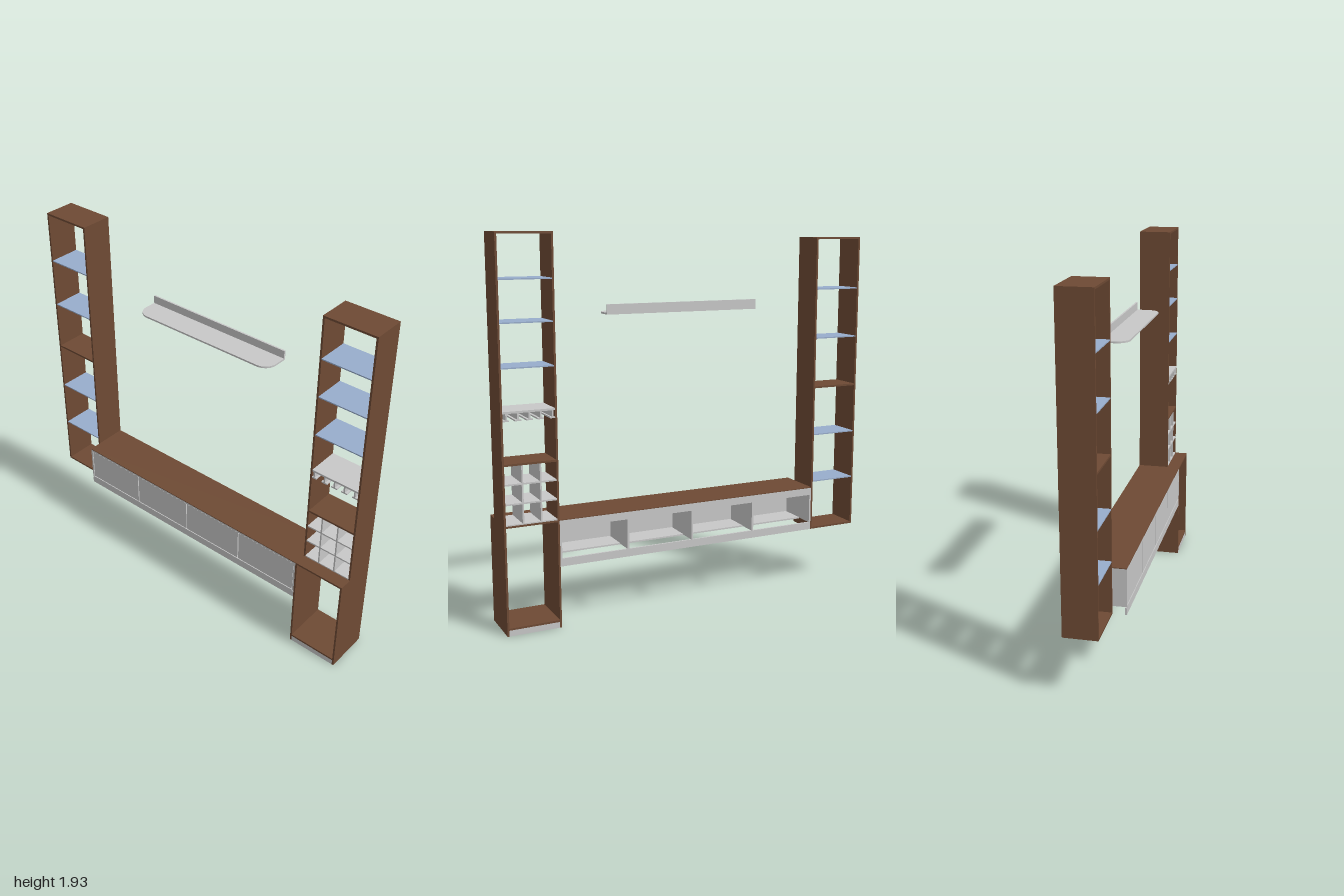
import * as THREE from 'three';

const mat = (name, color, side = THREE.FrontSide) => {
  const m = new THREE.MeshStandardMaterial({ color, side });
  m.name = name;
  return m;
};

export function createModel() {
  const wood = mat('walnut brown', 0x6e4a34);
  const grey = mat('light grey', 0xc8c8c8);
  const glass = mat('blue glass', 0x98adcc);
  const root = new THREE.Group();
  root.name = 'wallUnit';

  const group = (name) => {
    const g = new THREE.Group();
    g.name = name;
    root.add(g);
    return g;
  };
  // Box given by its limits on each axis
  const box = (g, name, m, x0, x1, y0, y1, z0, z1) => {
    const mesh = new THREE.Mesh(new THREE.BoxGeometry(x1 - x0, y1 - y0, z1 - z0), m);
    mesh.position.set((x0 + x1) / 2, (y0 + y1) / 2, (z0 + z1) / 2);
    mesh.name = name;
    g.add(mesh);
  };

  const back = -0.12, mid = 0.05, front = 0.12, t = 0.01;

  // Hanging tower on the -x side
  const hung = group('hangingTower');
  box(hung, 'outerSide', wood, -1, -1 + t, 0.315, 1.9, back, mid);
  box(hung, 'innerSide', wood, -0.737, -0.727, 0.315, 1.9, back, mid);
  for (const [name, y] of [['bottom', 0.315], ['middleShelf', 1.1], ['top', 1.89]])
    box(hung, name, wood, -1 + t, -0.737, y, y + t, back, mid);
  for (const y of [0.585, 0.845, 1.37, 1.63])
    box(hung, 'glassShelf', glass, -1 + t, -0.737, y - 0.003, y + 0.003, back, mid);

  // Standing tower with a deeper base on the +x side
  const tower = group('standingTower');
  const xl = 0.722, xr = 1, il = xl + t, ir = xr - t;
  const profile = new THREE.Shape([
    [back, 0], [front, 0], [front, 0.553], [mid, 0.553], [mid, 1.935], [back, 1.935],
  ].map(([z, y]) => new THREE.Vector2(-z, y)));
  for (const [name, x] of [['innerSide', xl], ['outerSide', ir]]) {
    const side = new THREE.Mesh(new THREE.ExtrudeGeometry(profile, { depth: t, bevelEnabled: false }), wood);
    side.rotation.y = Math.PI / 2;
    side.position.x = x;
    side.name = name;
    tower.add(side);
  }
  box(tower, 'bottom', wood, il, ir, 0.03, 0.04, back, front);
  box(tower, 'baseTop', wood, il, ir, 0.543, 0.553, back, front);
  box(tower, 'rackTop', wood, il, ir, 0.845, 0.855, back, mid);
  box(tower, 'top', wood, il, ir, 1.925, 1.935, back, mid);
  for (const y of [1.31, 1.52, 1.72])
    box(tower, 'glassShelf', glass, il, ir, y - 0.003, y + 0.003, back, mid);

  // Hollow plinth ring
  for (const z of [back, front - t]) box(tower, 'plinthRail', grey, il, ir, 0, 0.03, z, z + t);
  for (const x of [il, ir - t]) box(tower, 'plinthSide', grey, x, x + t, 0, 0.03, back + t, front - t);

  // Bottle rack of three by three cells
  const rack = group('bottleRack');
  for (const x of [0.812, 0.903]) box(rack, 'rackDivider', grey, x - 0.004, x + 0.004, 0.553, 0.845, back, mid);
  for (const y of [0.658, 0.754]) box(rack, 'rackShelf', grey, il, ir, y - 0.004, y + 0.004, back, mid);
  box(rack, 'rackFloor', grey, il, ir, 0.553, 0.559, back, mid);

  // Stemware holder: a shelf with T rails below and half rails at the sides
  const holder = group('stemwareHolder');
  box(holder, 'holderShelf', grey, il, ir, 1.097, 1.107, back, mid);
  for (const x of [0.803, 0.859, 0.915]) {
    box(holder, 'railStem', grey, x - 0.004, x + 0.004, 1.066, 1.097, back, mid);
    box(holder, 'railFlange', grey, x - 0.016, x + 0.016, 1.059, 1.066, back, mid);
  }
  for (const [x0, x1, s] of [[il, il + 0.025, il + 0.012], [ir - 0.03, ir, ir - 0.018]]) {
    box(holder, 'sideStem', grey, s - 0.004, s + 0.004, 1.066, 1.097, back, mid);
    box(holder, 'sideFlange', grey, x0, x1, 1.059, 1.066, back, mid);
  }

  // Long low cabinet, open at the back
  const cab = group('cabinet');
  const cl = -0.727, cr = xl;
  box(cab, 'woodTop', wood, cl, cr, 0.549, 0.553, back, front);
  box(cab, 'topPanel', grey, cl, cr, 0.539, 0.549, back, front);
  for (const x of [cl, cr - t]) box(cab, 'endPanel', grey, x, x + t, 0.355, 0.539, back, front);
  for (const x of [-0.36, 0, 0.36]) box(cab, 'divider', grey, x - 0.005, x + 0.005, 0.355, 0.539, back, front - 0.012);
  box(cab, 'bottomPanel', grey, cl + t, cr - t, 0.35, 0.358, -0.02, front);
  box(cab, 'frontLip', grey, cl, cr, 0.315, 0.35, front - t, front);
  box(cab, 'backTopRail', grey, cl + t, cr - t, 0.51, 0.539, back, back + t);
  box(cab, 'backBottomRail', grey, cl, cr, 0.315, 0.355, back, back + t);
  const doorW = (cr - cl - 2 * t) / 4;
  for (let i = 0; i < 4; i++) {
    const x = cl + t + i * doorW;
    box(cab, 'door', grey, x + 0.003, x + doorW - 0.003, 0.361, 0.536, front - 0.012, front - 0.002);
  }

  // Floating shelf with rounded front corners and a back upstand
  const ledge = group('floatingShelf');
  const x0 = -0.38, x1 = 0.445, zb = -0.085, r = 0.065;
  const plan = new THREE.Shape();
  plan.moveTo(x0, -zb);
  plan.lineTo(x0, -mid + r);
  plan.absarc(x0 + r, -mid + r, r, Math.PI, Math.PI * 1.5, false);
  plan.absarc(x1 - r, -mid + r, r, Math.PI * 1.5, Math.PI * 2, false);
  plan.lineTo(x1, -zb);
  const board = new THREE.Mesh(new THREE.ExtrudeGeometry(plan, { depth: 0.009, bevelEnabled: false, curveSegments: 10 }), grey);
  board.rotation.x = -Math.PI / 2;
  board.position.y = 1.537;
  board.name = 'shelfBoard';
  ledge.add(board);
  box(ledge, 'shelfUpstand', grey, x0, x1, 1.546, 1.587, zb, zb + 0.009);

  return root;
}
